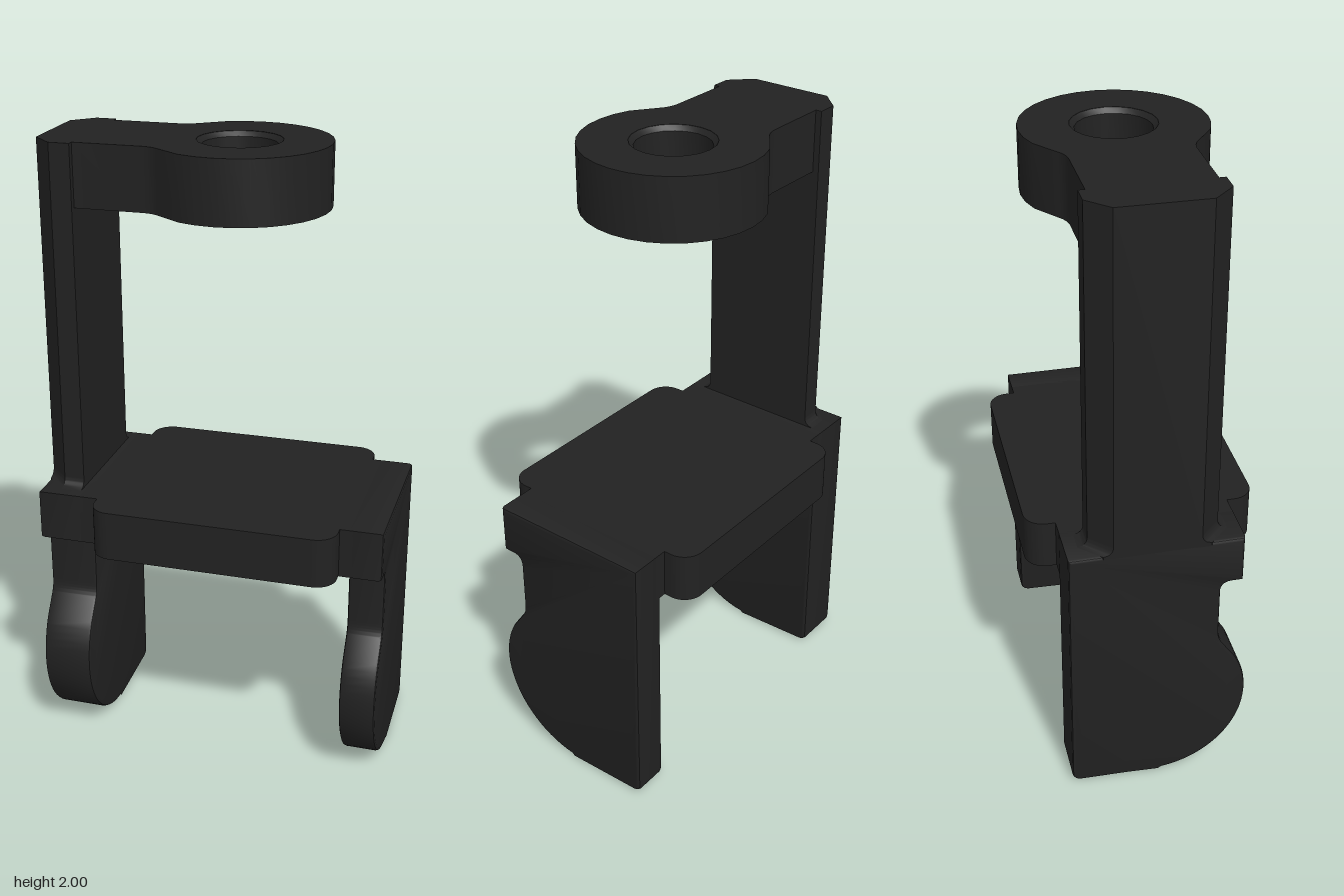
import * as THREE from 'three';
import { toCreasedNormals } from 'three/addons/utils/BufferGeometryUtils.js';

export function createModel() {
  const group = new THREE.Group();
  const material = new THREE.MeshStandardMaterial({ color: 0x222222 });

  const add = (name, geometry, crease = 0.5) => {
    const mesh = new THREE.Mesh(toCreasedNormals(geometry, crease), material);
    mesh.name = name;
    group.add(mesh);
    return mesh;
  };

  // Plate with rounded corners
  const x0 = -0.36, x1 = 0.42, w = 0.36, r = 0.065;
  const plate = new THREE.Shape();
  plate.moveTo(x0 + r, -w);
  plate.absarc(x1 - r, -w + r, r, -Math.PI / 2, 0);
  plate.absarc(x1 - r, w - r, r, 0, Math.PI / 2);
  plate.absarc(x0 + r, w - r, r, Math.PI / 2, Math.PI);
  plate.absarc(x0 + r, -w + r, r, Math.PI, Math.PI * 1.5);
  const plateGeo = new THREE.ExtrudeGeometry(plate, { depth: 0.16, bevelEnabled: false, curveSegments: 8 });
  add('plate', plateGeo.rotateX(Math.PI / 2).translate(0, 0.9, 0));

  // Necks joining the plate to the legs
  const neck = (name, a, b) =>
    add(name, new THREE.BoxGeometry(b - a, 0.16, 0.54).translate((a + b) / 2, 0.82, 0));
  neck('rightNeck', -0.42, -0.35);
  neck('leftNeck', 0.41, 0.46);

  // Leg side profile, drawn in z and y: square back, rounded front lobe
  const side = new THREE.Shape();
  side.moveTo(-0.27, 0.9);
  side.lineTo(-0.27, 0.035);
  side.quadraticCurveTo(-0.27, 0.005, -0.235, 0.005);
  side.lineTo(0, 0.0);
  side.absarc(0, 0.295, 0.295, -Math.PI / 2, 0.5);
  side.lineTo(0.215, 0.5);
  side.quadraticCurveTo(0.2, 0.52, 0.2, 0.55);
  side.lineTo(0.2, 0.705);
  side.quadraticCurveTo(0.2, 0.74, 0.235, 0.74);
  side.lineTo(0.27, 0.74);
  side.lineTo(0.27, 0.9);
  side.closePath();
  const leg = (name, a, b) => {
    const t = 0.01;
    const geo = new THREE.ExtrudeGeometry(side, {
      depth: b - a - 2 * t, bevelThickness: t, bevelSize: t, bevelOffset: -t,
      bevelSegments: 2, curveSegments: 12,
    });
    add(name, geo.rotateY(-Math.PI / 2).translate(b - t, 0, 0));
  };
  leg('rightLeg', -0.56, -0.40);
  leg('leftLeg', 0.44, 0.555);

  // Upright post with chamfered outer edges
  const plan = new THREE.Shape([
    [-0.43, -0.2], [-0.43, 0.2], [-0.495, 0.2], [-0.56, 0.135], [-0.56, -0.135], [-0.495, -0.2],
  ].map(([x, y]) => new THREE.Vector2(x, y)));
  const postPiece = (bottom, top, steps) =>
    new THREE.ExtrudeGeometry(plan, { depth: top - bottom, steps, bevelEnabled: false })
      .rotateX(-Math.PI / 2).translate(0, bottom, 0);
  add('post', postPiece(0.93, 2, 1));

  // Post foot flares out in a small fillet
  const foot = postPiece(0.885, 0.93, 9);
  const p = foot.attributes.position;
  for (let i = 0; i < p.count; i++) {
    const k = Math.min(1, Math.max(0, (p.getY(i) - 0.9) / 0.03));
    const flare = 0.03 * (1 - Math.sqrt(1 - (1 - k) ** 2));
    p.setZ(i, p.getZ(i) + Math.sign(p.getZ(i)) * flare);
  }
  add('postFoot', foot);

  // Arm ending in a round eye
  const cx = 0.03, eyeR = 0.28, open = 1.98;
  const arm = new THREE.Shape();
  arm.moveTo(-0.43, -0.18);
  arm.lineTo(-0.22, -0.18);
  arm.quadraticCurveTo(-0.185, -0.18, -0.16, -0.2);
  arm.absarc(cx, 0, eyeR, -open, open);
  arm.lineTo(-0.16, 0.2);
  arm.quadraticCurveTo(-0.185, 0.18, -0.22, 0.18);
  arm.lineTo(-0.43, 0.18);
  arm.closePath();
  const hole = new THREE.Path();
  hole.absarc(cx, 0, 0.13, 0, Math.PI * 2, true);
  arm.holes.push(hole);
  const armGeo = new THREE.ExtrudeGeometry(arm, { depth: 0.195, bevelEnabled: false, curveSegments: 10 });
  add('arm', armGeo.rotateX(Math.PI / 2).translate(0, 2, 0));

  // Hole lining, chamfered at both mouths
  const lining = [[0.131, 2], [0.115, 1.985], [0.115, 1.82], [0.131, 1.805]]
    .map(([x, y]) => new THREE.Vector2(x, y));
  add('holeLining', new THREE.LatheGeometry(lining, 20).translate(cx, 0, 0));

  return group;
}
